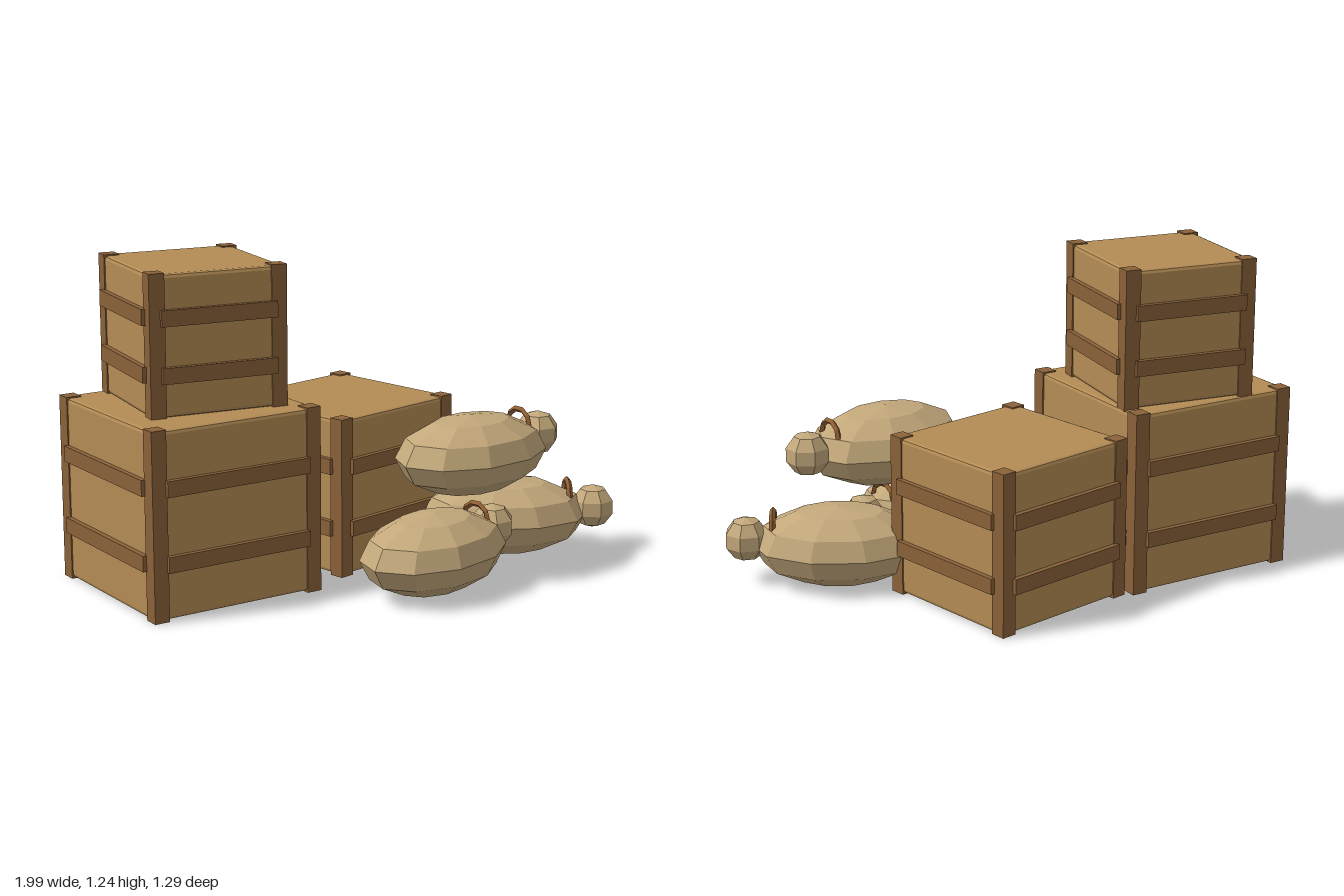
import * as THREE from 'three';
import { RoundedBoxGeometry } from 'three/addons/geometries/RoundedBoxGeometry.js';

function material(name, color) {
  const m = new THREE.MeshStandardMaterial({ color });
  m.name = name;
  return m;
}

// Gives every face its own hard normal for a low-poly look
function faceted(geometry) {
  const g = geometry.index ? geometry.toNonIndexed() : geometry;
  g.computeVertexNormals();
  return g;
}

function add(parent, name, geometry, mat, x = 0, y = 0, z = 0) {
  const mesh = new THREE.Mesh(geometry, mat);
  mesh.name = name;
  mesh.position.set(x, y, z);
  parent.add(mesh);
  return mesh;
}

export function createModel() {
  const model = new THREE.Group();
  model.name = 'cratesAndSacks';
  const wood = material('crate wood', 0xb48c55);
  const frame = material('dark frame wood', 0x8a623a);
  const burlap = material('burlap', 0xc3a87b);
  const rope = material('rope', 0x8f5f33);

  // Crate: chamfered box, four corner posts, two battens on each side
  function crate(name, size, x, y, z, turn) {
    const g = new THREE.Group();
    g.name = name;
    g.position.set(x, y, z);
    g.rotation.y = turn;
    const middle = size / 2 + 0.005;
    add(g, 'crateBox', faceted(new RoundedBoxGeometry(size, size, size, 1, 0.014)), wood, 0, middle, 0);

    const post = new THREE.BoxGeometry(0.06, size + 0.01, 0.06);
    const p = size / 2 + 0.005 - 0.03;
    for (const sx of [-1, 1]) {
      for (const sz of [-1, 1]) add(g, 'cornerPost', post, frame, sx * p, middle, sz * p);
    }

    const batten = new THREE.BoxGeometry(size * 0.86, 0.06, 0.03);
    for (let side = 0; side < 4; side++) {
      const panel = new THREE.Group();
      panel.name = 'sideBattens';
      panel.rotation.y = side * Math.PI / 2;
      for (const f of [-0.2, 0.2]) {
        add(panel, 'batten', batten, frame, 0, middle + f * size, size / 2 + 0.005);
      }
      g.add(panel);
    }
    model.add(g);
  }
  crate('largeCrate', 0.7, -0.63, 0, -0.18, 0);
  crate('mediumCrate', 0.61, 0.1125, 0, -0.268, 0.2);
  crate('smallCrate', 0.525, -0.583, 0.7, -0.2225, -0.15);

  // Sack: flattened faceted body, tied-off knob and a rope arch at the neck
  const bodyGeometry = faceted(new THREE.SphereGeometry(1, 10, 6).scale(0.335, 0.152, 0.226));
  const knobGeometry = faceted(new THREE.SphereGeometry(0.087, 7, 5));
  const ropeGeometry = faceted(new THREE.TorusGeometry(0.058, 0.012, 4, 5, Math.PI).rotateY(Math.PI / 2));
  function sack(name, x, y, z, turn) {
    const g = new THREE.Group();
    g.name = name;
    g.position.set(x, y, z);
    g.rotation.y = turn;
    add(g, 'sackBody', bodyGeometry, burlap);
    add(g, 'sackKnob', knobGeometry, burlap, 0.355, 0.025, 0);
    add(g, 'ropeTie', ropeGeometry, rope, 0.252, 0.077, 0);
    model.add(g);
  }
  sack('frontSack', 0.07, 0.152, 0.415, 0.25);
  sack('sideSack', 0.6, 0.152, 0.165, -0.5);
  sack('topSack', 0.325, 0.472, 0.305, 0.11);

  return model;
}
